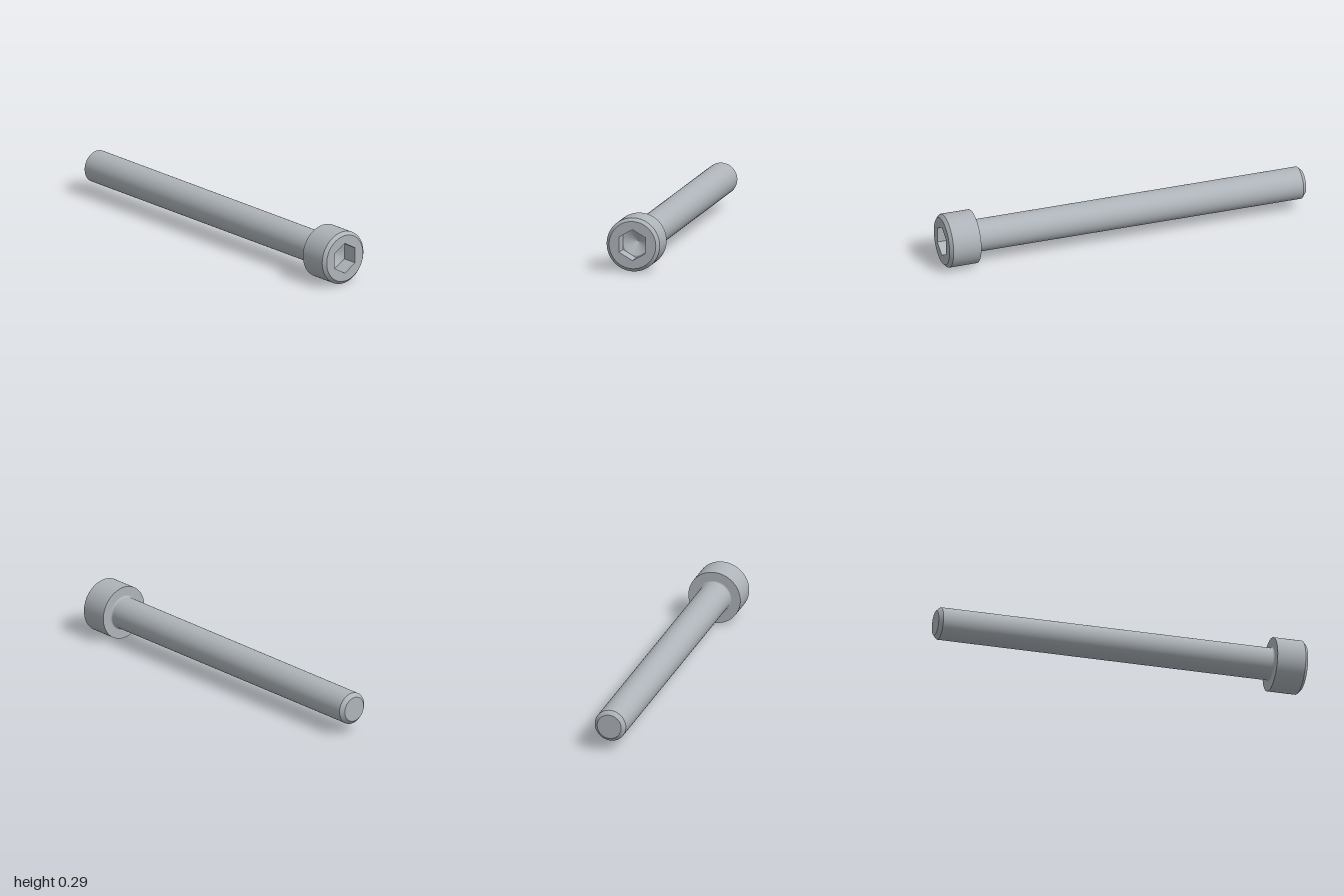
import * as THREE from 'three';

const HEAD_R = 0.143, SHANK_R = 0.0857, HEX_R = 0.0825, BORE_R = 0.0714;
const SEAT_Z = 0.829, SOCKET_Z = 0.914;

export function createModel() {
  const steel = new THREE.MeshStandardMaterial({ color: 0xaeb4b9 });
  steel.name = 'steel';
  const screw = new THREE.Group();
  screw.name = 'socketScrew';

  const add = (name, geometry) => {
    const mesh = new THREE.Mesh(geometry, steel);
    mesh.name = name;
    mesh.position.y = HEAD_R;
    screw.add(mesh);
  };
  // Surface of revolution about z; each point is [radius, z]
  const turned = (points, sides = 96) =>
    new THREE.LatheGeometry(points.map(([r, z]) => new THREE.Vector2(r, z)), sides).rotateX(Math.PI / 2);

  // Regular polygon outline with a corner pointing up
  const polygon = (radius, sides) =>
    Array.from({ length: sides }, (_, i) => {
      const a = Math.PI / 2 + (i / sides) * Math.PI * 2;
      return new THREE.Vector2(radius * Math.cos(a), radius * Math.sin(a));
    });
  const plate = (outer, hole, z) => {
    const shape = new THREE.Shape(outer);
    shape.holes.push(new THREE.Path(hole));
    return new THREE.ShapeGeometry(shape).translate(0, 0, z);
  };

  // Shank with chamfered tip and a small fillet under the head
  add('tipFace', turned([[0, -1], [0.066, -1]]));
  add('tipChamfer', turned([[0.066, -1], [SHANK_R, -0.98]]));
  const fillet = 0.009;
  const root = [];
  for (let i = 0; i <= 6; i++) {
    const a = (i / 6) * Math.PI / 2;
    root.push([SHANK_R + fillet * (1 - Math.cos(a)), SEAT_Z - fillet * (1 - Math.sin(a))]);
  }
  add('shank', turned([[SHANK_R, -0.98], [SHANK_R, SEAT_Z - fillet]]));
  add('shankFillet', turned(root));

  // Head
  add('headSeat', turned([[SHANK_R + fillet, SEAT_Z], [HEAD_R, SEAT_Z]]));
  add('headSide', turned([[HEAD_R, SEAT_Z], [HEAD_R, 0.983]]));
  add('headChamfer', turned([[HEAD_R, 0.983], [0.126, 1]]));
  add('headFace', plate(polygon(0.126, 96), polygon(HEX_R, 6), 1));

  // Hexagonal socket with a conical bottom
  const walls = turned([[HEX_R, 1], [HEX_R, SOCKET_Z]], 6).toNonIndexed();
  walls.computeVertexNormals();
  add('socketWalls', walls);
  add('socketFloor', plate(polygon(HEX_R, 6), polygon(BORE_R - 0.0003, 96), SOCKET_Z));
  add('socketCone', turned([[BORE_R, SOCKET_Z], [0, SOCKET_Z - 0.041]]));

  return screw;
}
